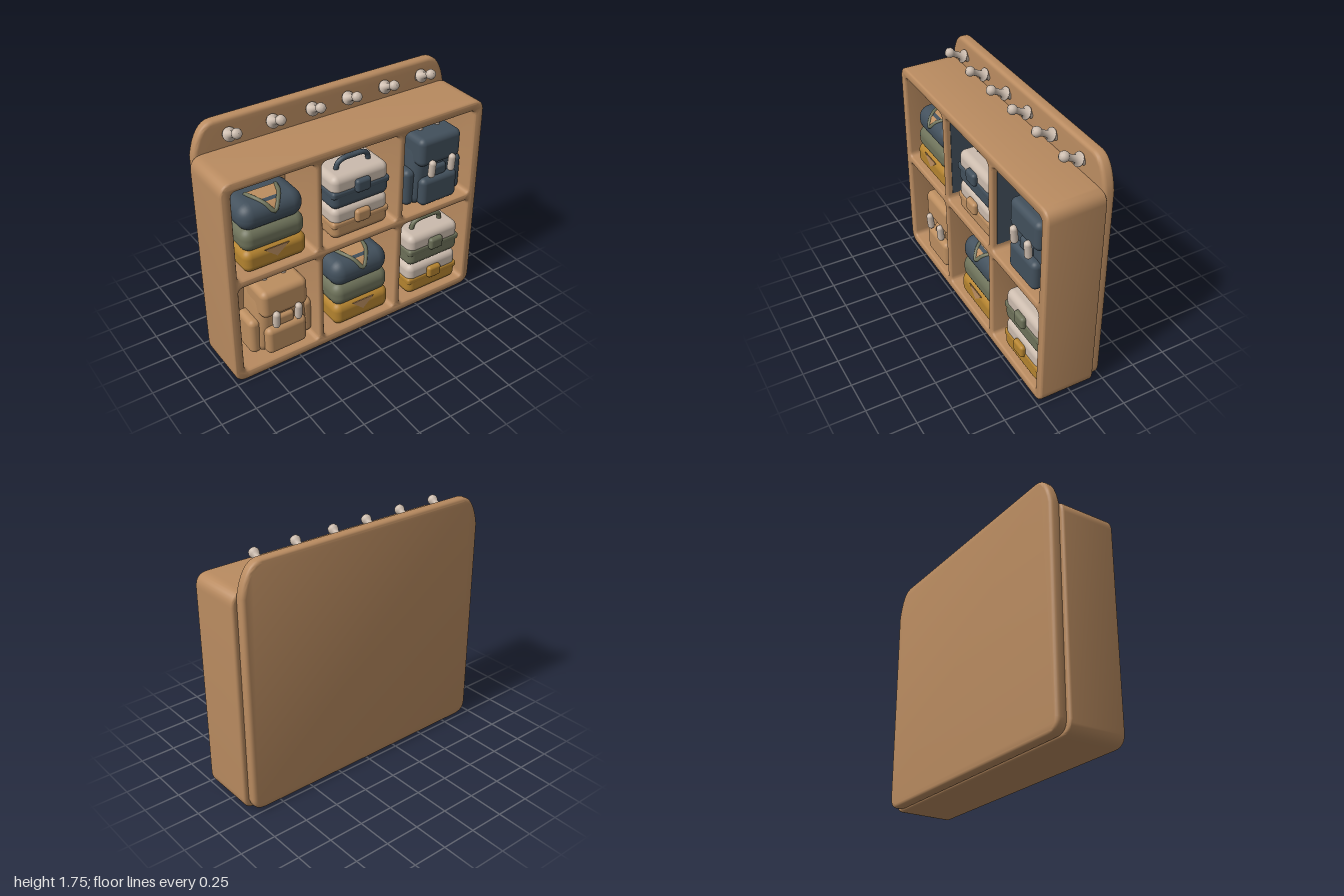
import * as THREE from 'three';
import { toCreasedNormals } from 'three/addons/utils/BufferGeometryUtils.js';
import { RoundedBoxGeometry } from 'three/addons/geometries/RoundedBoxGeometry.js';

function mat(name, color) {
  const m = new THREE.MeshStandardMaterial({ color });
  m.name = name;
  return m;
}

export function createModel() {
  const wood = mat('wood', 0xb98b60), tan = mat('tan', 0xbc8e60), navy = mat('navy', 0x42505c);
  const olive = mat('olive', 0x6d7159), mustard = mat('mustard', 0xb4832f), cream = mat('cream', 0xcbbbad);
  const root = new THREE.Group();
  root.name = 'cubbyShelf';

  const add = (parent, name, geo, material, x = 0, y = 0, z = 0) => {
    const m = new THREE.Mesh(geo, material);
    m.name = name;
    m.position.set(x, y, z);
    parent.add(m);
    return m;
  };
  const group = (name, x, y) => {
    const g = new THREE.Group();
    g.name = name;
    g.position.set(x, y, 0);
    root.add(g);
    return g;
  };
  // Rounded box given by its limits
  const block = (parent, name, material, x0, x1, y0, y1, z0, z1, r) =>
    add(parent, name, new RoundedBoxGeometry(x1 - x0, y1 - y0, z1 - z0, 4, r), material,
      (x0 + x1) / 2, (y0 + y1) / 2, (z0 + z1) / 2);
  const tube = (parent, name, material, pts, r) => {
    const curve = new THREE.CatmullRomCurve3(pts.map(p => new THREE.Vector3(...p)));
    return add(parent, name, new THREE.TubeGeometry(curve, 28, r, 10), material);
  };
  // Rounded rectangle outline; works for shapes and holes
  const outline = (s, x0, x1, y0, y1, r) => {
    s.moveTo(x0 + r, y0);
    s.lineTo(x1 - r, y0);
    s.quadraticCurveTo(x1, y0, x1, y0 + r);
    s.lineTo(x1, y1 - r);
    s.quadraticCurveTo(x1, y1, x1 - r, y1);
    s.lineTo(x0 + r, y1);
    s.quadraticCurveTo(x0, y1, x0, y1 - r);
    s.lineTo(x0, y0 + r);
    s.quadraticCurveTo(x0, y0, x0 + r, y0);
    return s;
  };
  const slab = (shape, z0, z1, b) => toCreasedNormals(new THREE.ExtrudeGeometry(shape, {
    depth: z1 - z0 - 2 * b, bevelThickness: b, bevelSize: b, bevelOffset: -b, bevelSegments: 4, curveSegments: 8,
  }).translate(0, 0, z0 + b), 0.7);

  // Cubby frame with six openings
  const frame = outline(new THREE.Shape(), -1, 1, 0, 1.55, 0.09);
  for (const [x0, x1] of [[-0.93, -0.345], [-0.3, 0.295], [0.345, 0.93]])
    for (const [y0, y1] of [[0.07, 0.765], [0.82, 1.48]])
      frame.holes.push(outline(new THREE.Path(), x0, x1, y0, y1, 0.04));
  add(root, 'cubbyFrame', slab(frame, -0.17, 0.235, 0.018), wood);

  // Back board rising above the frame, with slanted top corners
  const board = new THREE.Shape();
  board.moveTo(-0.87, 0.01);
  board.lineTo(0.87, 0.01);
  board.quadraticCurveTo(0.97, 0.01, 0.97, 0.1);
  board.lineTo(0.97, 1.53);
  board.quadraticCurveTo(0.93, 1.74, 0.82, 1.745);
  board.lineTo(-0.82, 1.745);
  board.quadraticCurveTo(-0.93, 1.74, -0.97, 1.53);
  board.lineTo(-0.97, 0.1);
  board.quadraticCurveTo(-0.97, 0.01, -0.87, 0.01);
  add(root, 'backBoard', slab(board, -0.24, -0.16, 0.025), wood);

  // Navy lining on two divider walls
  for (const x of [-0.298, 0.347])
    add(root, 'dividerLining', new THREE.BoxGeometry(0.006, 0.57, 0.32), navy, x, 1.15, 0.035);

  // Coat pegs: turned profile tilted up and forward
  const pegProfile = [[0.03, 0], [0.026, 0.03], [0.045, 0.04], [0.047, 0.05], [0.024, 0.063], [0.021, 0.1], [0.023, 0.132],
    [0.032, 0.145], [0.035, 0.162], [0.028, 0.18], [0.015, 0.188], [0, 0.19]].map(p => new THREE.Vector2(...p));
  for (const x of [-0.735, -0.43, -0.14, 0.135, 0.43, 0.735]) {
    const peg = add(root, 'peg', new THREE.LatheGeometry(pegProfile, 18), cream, x, 1.625, -0.17);
    peg.rotation.x = Math.PI / 2 - 0.47;
  }

  // Stack of folded sweaters
  const sweaters = (x, y, scale) => {
    const g = group('sweaterStack', x, y);
    g.scale.y = scale;
    block(g, 'mustardSweater', mustard, -0.23, 0.23, 0, 0.165, -0.12, 0.205, 0.055);
    block(g, 'oliveSweater', olive, -0.228, 0.228, 0.145, 0.315, -0.12, 0.2, 0.07);
    block(g, 'navySweater', navy, -0.23, 0.23, 0.29, 0.48, -0.12, 0.2, 0.09);
    // V neck lying over the rounded top edge
    tube(g, 'collar', olive, [[-0.11, 0.475, 0.02], [-0.085, 0.48, 0.1], [-0.045, 0.457, 0.162],
      [0, 0.41, 0.198], [0.045, 0.457, 0.162], [0.085, 0.48, 0.1], [0.11, 0.475, 0.02]], 0.015);
    const inset = new THREE.BufferGeometry();
    inset.setAttribute('position', new THREE.Float32BufferAttribute([-0.11, 0.485, 0.02, 0.11, 0.485, 0.02,
      -0.08, 0.485, 0.11, 0.08, 0.485, 0.11, -0.045, 0.462, 0.17, 0.045, 0.462, 0.17, 0, 0.415, 0.203], 3));
    inset.setIndex([0, 2, 1, 1, 2, 3, 2, 4, 3, 3, 4, 5, 4, 6, 5]);
    inset.computeVertexNormals();
    add(g, 'neckOpening', inset, tan);
    // Small pale fold on the bottom sweater
    const fold = new THREE.Shape([[-0.09, 0.15], [-0.03, 0.1], [0, 0.075], [0.03, 0.1], [0.09, 0.15]]
      .map(p => new THREE.Vector2(...p)));
    add(g, 'foldPatch', new THREE.ExtrudeGeometry(fold, { depth: 0.006, bevelEnabled: false }), tan, 0, 0, 0.201);
  };
  sweaters(-0.627, 0.82, 1);
  sweaters(0.043, 0.07, 1.08);

  // Lidded case with arched handle and clasp
  const lidCase = (x, y, h, base) => {
    const g = group('lidCase', x, y);
    block(g, 'caseBase', base, -0.225, 0.225, 0, h * 0.66, -0.11, 0.2, 0.05);
    block(g, 'caseLid', cream, -0.22, 0.22, h * 0.42, h, -0.105, 0.196, 0.048);
    block(g, 'caseBand', base, -0.226, 0.226, h * 0.36, h * 0.58, -0.111, 0.201, 0.02);
    const clasp = block(g, 'clasp', base, -0.055, 0.055, h * 0.42, h * 0.42 + 0.095, 0.18, 0.23, 0.022);
    clasp.scale.x = 1.05;
    tube(g, 'caseHandle', base, [[-0.13, h - 0.02, 0.08], [-0.115, h + 0.04, 0.085], [-0.08, h + 0.066, 0.09],
      [0, h + 0.07, 0.09], [0.08, h + 0.066, 0.09], [0.115, h + 0.04, 0.085], [0.13, h - 0.02, 0.08]], 0.018);
  };
  lidCase(0.025, 0.82, 0.24, tan);
  lidCase(0.025, 1.05, 0.245, navy);
  lidCase(0.675, 0.07, 0.25, mustard);
  lidCase(0.675, 0.325, 0.25, olive);

  // Backpack with flap, pockets, straps and carry loop
  const backpack = (x, y, cloth) => {
    const g = group('backpack', x, y);
    const body = block(g, 'packBody', cloth, -0.205, 0.205, 0, 0.52, -0.11, 0.165, 0.07);
    const p = body.geometry.attributes.position;
    for (let i = 0; i < p.count; i++) p.setX(i, p.getX(i) * (0.91 - p.getY(i) * 0.35));
    body.geometry = toCreasedNormals(body.geometry, 0.9);
    block(g, 'packFlap', cloth, -0.175, 0.175, 0.32, 0.535, -0.05, 0.205, 0.045);
    block(g, 'frontPocket', cloth, -0.155, 0.155, 0.01, 0.225, 0.1, 0.215, 0.04);
    block(g, 'middlePocket', cloth, -0.07, 0.07, 0.21, 0.3, 0.1, 0.19, 0.025);
    for (const s of [-1, 1]) {
      const pocket = block(g, 'sidePocket', cloth, -0.045, 0.045, 0.005, 0.285, -0.06, 0.14, 0.04);
      pocket.position.x = s * 0.2;
      const strap = add(g, 'buckleStrap', new THREE.CapsuleGeometry(0.026, 0.085, 6, 14), cream, s * 0.085, 0.305, 0.214);
      strap.rotation.x = 0.08;
    }
    tube(g, 'carryLoop', cream, [[-0.075, 0.5, 0.05], [-0.068, 0.555, 0.05], [-0.038, 0.59, 0.05], [0, 0.6, 0.05],
      [0.038, 0.59, 0.05], [0.068, 0.555, 0.05], [0.075, 0.5, 0.05]], 0.018);
  };
  backpack(0.678, 0.82, navy);
  backpack(-0.578, 0.08, tan);

  return root;
}
